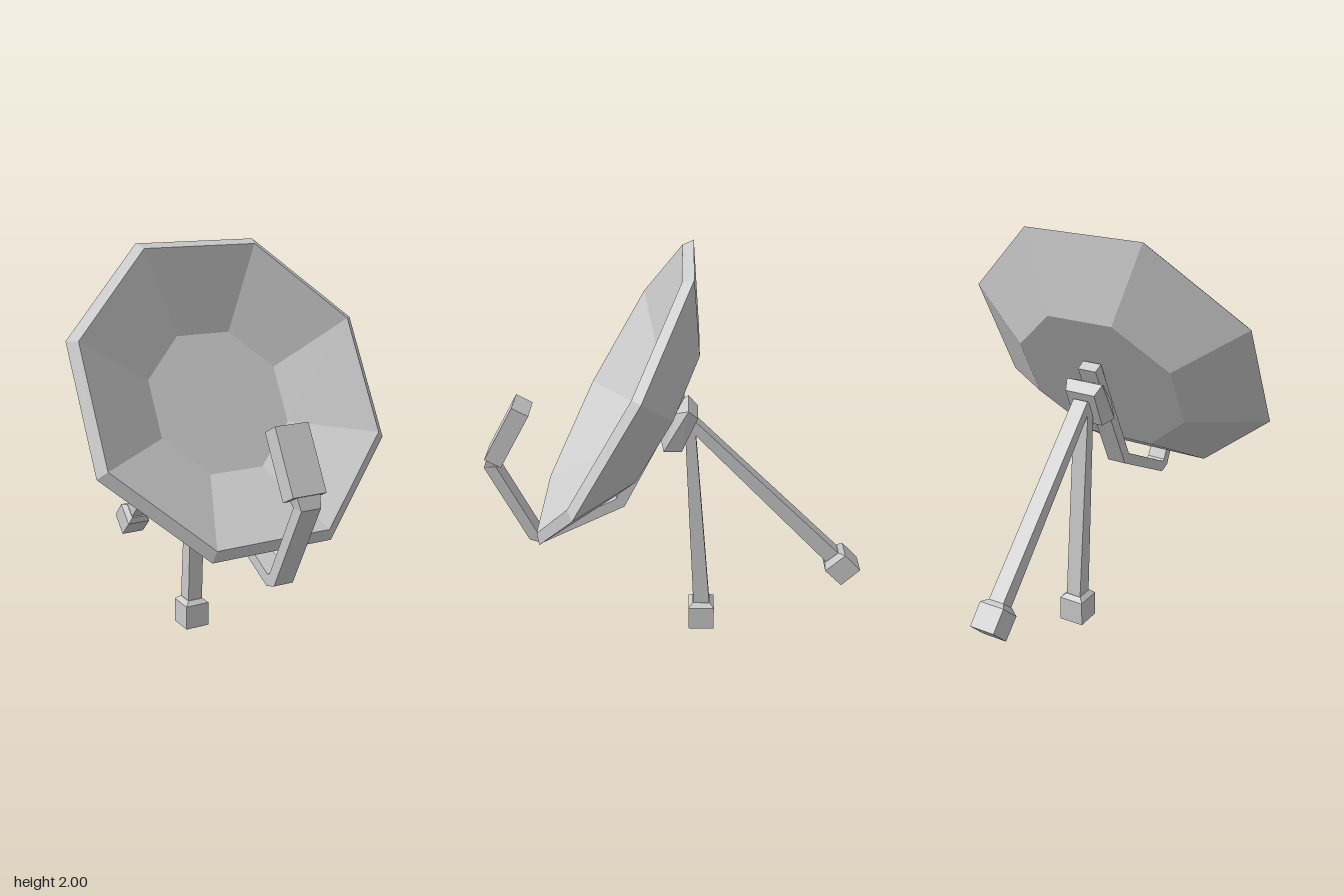
import * as THREE from 'three';

const material = new THREE.MeshStandardMaterial({ color: 0xcccccc, flatShading: true });

function mesh(name, geometry) {
  const m = new THREE.Mesh(geometry, material);
  m.name = name;
  return m;
}

// Rectangular bar swept along a path in the x = 0 plane with mitred bends.
// Each section is [z, y, half width in x, half thickness].
function bar(name, sections) {
  const pts = sections.map(([z, y]) => new THREE.Vector2(z, y));
  const rings = sections.map(([z, y, hx, ht], i) => {
    const before = i > 0 ? pts[i].clone().sub(pts[i - 1]).normalize() : null;
    const after = i < pts.length - 1 ? pts[i + 1].clone().sub(pts[i]).normalize() : null;
    const dir = new THREE.Vector2();
    if (before) dir.add(before);
    if (after) dir.add(after);
    dir.normalize();
    const t = ht / dir.dot(after || before);
    const nz = -dir.y * t, ny = dir.x * t;
    return [[-1, -1], [1, -1], [1, 1], [-1, 1]].map(([a, b]) => [a * hx, y + b * ny, z + b * nz]);
  });
  const pos = [];
  const quad = (a, b, c, d) => pos.push(...a, ...b, ...c, ...a, ...c, ...d);
  for (let i = 0; i < rings.length - 1; i++) {
    const r = rings[i], s = rings[i + 1];
    for (let k = 0; k < 4; k++) {
      const n = (k + 1) % 4;
      quad(r[k], r[n], s[n], s[k]);
    }
  }
  const first = rings[0], last = rings[rings.length - 1];
  quad(first[3], first[2], first[1], first[0]);
  quad(last[0], last[1], last[2], last[3]);
  const g = new THREE.BufferGeometry();
  g.setAttribute('position', new THREE.Float32BufferAttribute(pos, 3));
  g.computeVertexNormals();
  return mesh(name, g);
}

export function createModel() {
  const model = new THREE.Group();
  model.name = 'satelliteDish';

  // Octagonal dish: [apothem, depth along the dish axis]
  const toRadius = 1 / Math.cos(Math.PI / 8);
  const profile = [[0, -0.222], [0.423, -0.222], [0.764, 0], [0.72, 0.038], [0.344, -0.147], [0, -0.147]]
    .map(([a, d]) => new THREE.Vector2(a * toRadius, d));
  const dish = mesh('dish', new THREE.LatheGeometry(profile, 8, Math.PI / 8));
  dish.rotation.x = 1.063;
  dish.position.set(0, 1.335, 0.29);
  model.add(dish);

  // Bent arm running under the dish
  model.add(bar('feedArm', [
    [-0.015, 1.345, 0.05, 0.028],
    [0.281, 0.755, 0.05, 0.028],
    [0.69, 0.548, 0.05, 0.028],
    [0.73, 0.561, 0.05, 0.028],
    [0.922, 0.95, 0.05, 0.028],
    [0.9, 0.995, 0.06, 0.034],
  ]));

  // Receiver box at the end of the arm
  model.add(bar('receiver', [
    [0.902, 0.99, 0.085, 0.045],
    [0.75, 1.268, 0.085, 0.045],
  ]));

  // Bevelled pivot block behind the dish
  model.add(bar('pivot', [
    [0.04, 1.203, 0.07, 0.068],
    [0, 1.175, 0.1, 0.122],
    [-0.066, 1.146, 0.08, 0.098],
  ]));

  // Legs, thickening toward the feet
  model.add(bar('frontLeg', [
    [-0.067, 1.18, 0.04, 0.025],
    [-0.133, 0.14, 0.04, 0.042],
  ]));
  model.add(bar('rearLeg', [
    [-0.08, 1.18, 0.04, 0.025],
    [-0.808, 0.43, 0.04, 0.04],
  ]));

  // Block feet with bevelled tops
  model.add(bar('frontFoot', [
    [-0.132, 0.148, 0.042, 0.045],
    [-0.132, 0.127, 0.065, 0.067],
    [-0.132, 0, 0.065, 0.067],
  ]));
  model.add(bar('rearFoot', [
    [-0.803, 0.431, 0.042, 0.045],
    [-0.82, 0.412, 0.065, 0.067],
    [-0.905, 0.325, 0.065, 0.065],
  ]));

  return model;
}
